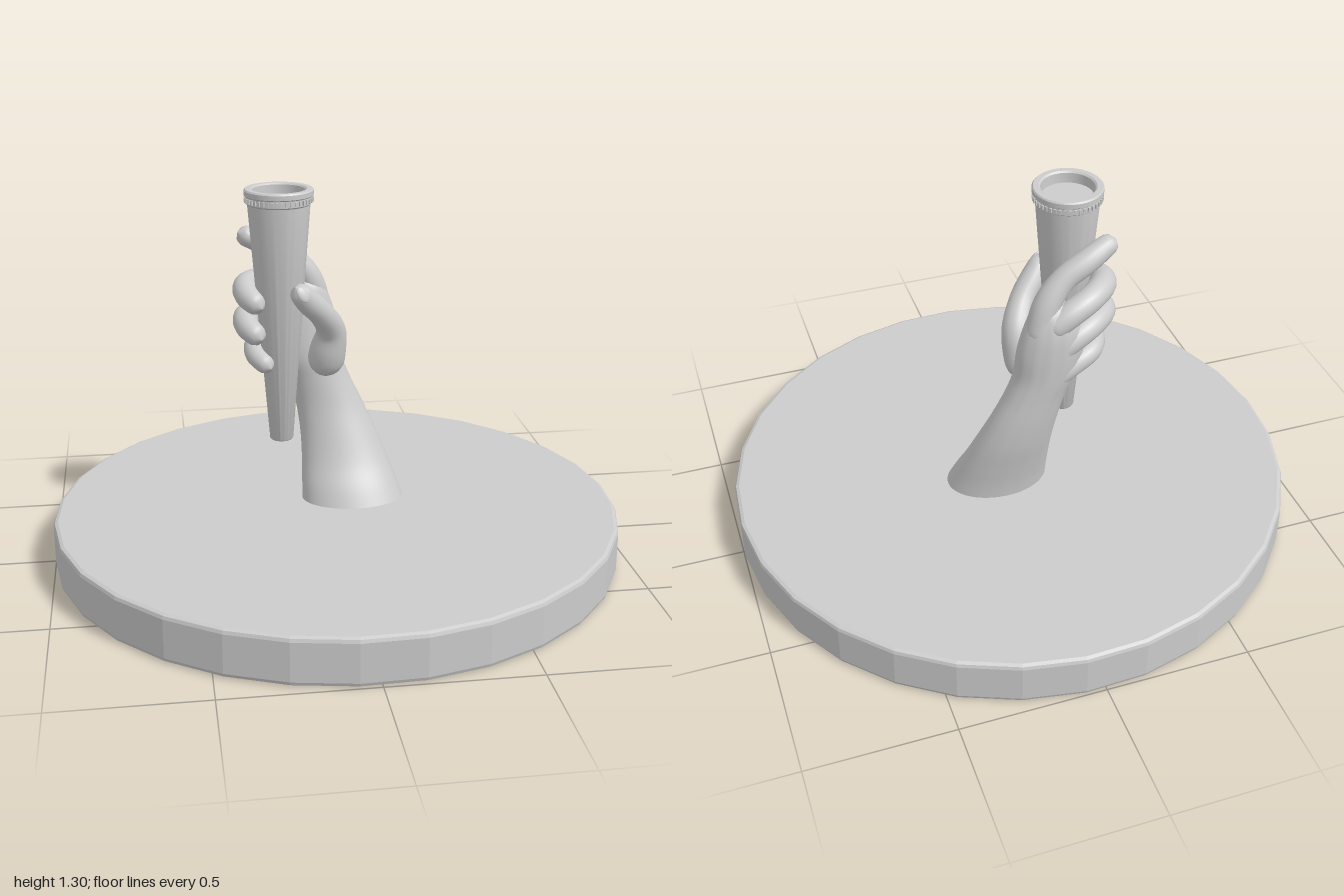
import * as THREE from 'three';
import { toCreasedNormals } from 'three/addons/utils/BufferGeometryUtils.js';

const V = (p) => new THREE.Vector3(...p);
const smooth = new THREE.MeshStandardMaterial({ color: 0xcccccc });
const faceted = new THREE.MeshStandardMaterial({ color: 0xcccccc, flatShading: true });

function part(name, geometry, material = smooth) {
  const mesh = new THREE.Mesh(geometry, material);
  mesh.name = name;
  return mesh;
}

// Smooth skin over rows of closed rings; point(i, angle) gives a Vector3
function skin(rows, sides, point) {
  const pos = [], idx = [];
  for (let i = 0; i <= rows; i++)
    for (let j = 0; j < sides; j++) pos.push(...point(i, (j / sides) * Math.PI * 2).toArray());
  for (let i = 0; i < rows; i++)
    for (let j = 0; j < sides; j++) {
      const k = (j + 1) % sides;
      const a = i * sides + j, b = i * sides + k;
      idx.push(a, b, b + sides, a, b + sides, a + sides);
    }
  const g = new THREE.BufferGeometry();
  g.setAttribute('position', new THREE.Float32BufferAttribute(pos, 3));
  g.setIndex(idx);
  g.computeVertexNormals();
  return g;
}

// Finger along a path, radii given per path point, with rounded ends
function finger(name, path, radii) {
  const curve = new THREE.CatmullRomCurve3(path.map(V));
  const radius = new THREE.CatmullRomCurve3(radii.map((r, i) => V([r, i, 0])));
  const rows = 36, frames = curve.computeFrenetFrames(rows);
  const length = curve.getLength();
  return part(name, skin(rows, 18, (i, a) => {
    const u = i / rows, t = curve.getUtoTmapping(u);
    let r = radius.getPoint(t).x;
    const end = Math.min(u, 1 - u) * length / r;
    if (end < 1) r *= Math.sqrt(Math.max(0, 1 - (1 - end) ** 2));
    return curve.getPointAt(u)
      .addScaledVector(frames.normals[i], Math.cos(a) * r)
      .addScaledVector(frames.binormals[i], Math.sin(a) * r);
  }));
}

// Forearm, wrist and palm from sections: y, x min, x max, z min, z max
function forearmAndPalm() {
  const sections = [
    [0.15, -0.115, 0.255, -0.188, 0.075],
    [0.22, -0.113, 0.23, -0.197, 0.04],
    [0.3, -0.11, 0.2, -0.212, -0.005],
    [0.4, -0.112, 0.16, -0.232, -0.045],
    [0.5, -0.125, 0.115, -0.244, -0.075],
    [0.6, -0.15, 0.068, -0.25, -0.088],
    [0.68, -0.185, 0.04, -0.255, -0.09],
    [0.78, -0.205, 0.03, -0.257, -0.1],
    [0.86, -0.195, 0.01, -0.252, -0.11],
    [0.93, -0.16, -0.02, -0.232, -0.125],
    [0.98, -0.1, -0.07, -0.19, -0.16],
    [0.985, -0.085, -0.085, -0.175, -0.175],
  ];
  const centre = new THREE.CatmullRomCurve3(
    sections.map(([y, x0, x1, z0, z1]) => V([(x0 + x1) / 2, y, (z0 + z1) / 2])));
  const size = new THREE.CatmullRomCurve3(
    sections.map(([y, x0, x1, z0, z1]) => V([(x1 - x0) / 2, (z1 - z0) / 2, y])));
  const rows = 60;
  return part('forearmAndPalm', skin(rows, 48, (i, a) => {
    const c = centre.getPoint(i / rows), s = size.getPoint(i / rows);
    // Faint tendons along the back of the hand and wrist
    const back = Math.max(0, Math.sin(a)) ** 2;
    const ripple = 1 + 0.02 * back * Math.cos(a * 14) * Math.min(1, i / 25);
    return V([c.x + s.x * Math.cos(a) * ripple, c.y, c.z - s.y * Math.sin(a) * ripple]);
  }));
}

function hand() {
  const g = new THREE.Group();
  g.name = 'hand';
  g.add(forearmAndPalm());
  g.add(finger('thumb',
    [[-0.03, 0.62, -0.12], [-0.02, 0.7, -0.09], [-0.01, 0.79, -0.06], [-0.05, 0.87, 0.0], [-0.1, 0.925, 0.035], [-0.148, 0.985, 0.065]],
    [0.06, 0.066, 0.053, 0.044, 0.043, 0.034]));
  g.add(finger('indexFinger',
    [[-0.03, 0.82, -0.195], [-0.07, 0.95, -0.18], [-0.13, 1.03, -0.168], [-0.22, 1.085, -0.16], [-0.325, 1.135, -0.135]],
    [0.045, 0.047, 0.042, 0.042, 0.034]));
  // Three fingers curled round the cone: height, reach to the side, thickness
  const curled = [
    ['middleFinger', 0.93, -0.298, 0.045],
    ['ringFinger', 0.82, -0.3, 0.044],
    ['littleFinger', 0.715, -0.27, 0.039],
  ];
  for (const [name, y, x, r] of curled)
    g.add(finger(name, [
      [-0.06, y - 0.07, -0.205], [-0.15, y - 0.01, -0.207], [-0.23, y + 0.02, -0.182], [x, y + 0.022, -0.11],
      [x - 0.003, y + 0.005, -0.03], [x + 0.04, y - 0.025, 0.035],
    ], [r, r * 1.02, r, r * 1.02, r * 0.95, r * 0.8]));
  // Thumbnail
  const nail = part('thumbnail', new THREE.SphereGeometry(1, 16, 12));
  nail.scale.set(0.02, 0.03, 0.008);
  nail.position.set(-0.125, 0.965, 0.088);
  nail.rotation.set(-0.35, 0.3, 0.6);
  g.add(nail);
  return g;
}

function cone() {
  const g = new THREE.Group();
  g.name = 'cone';
  g.position.set(-0.19, 0, -0.037);
  const profile = [
    [0, 0.41], [0.038, 0.41], [0.041, 0.414], [0.107, 1.252], [0.113, 1.257], [0.113, 1.28],
    [0.118, 1.284], [0.118, 1.3], [0.114, 1.305], [0.096, 1.305], [0.09, 1.3], [0.088, 1.265], [0, 1.265],
  ].map((p) => new THREE.Vector2(...p));
  g.add(part('coneBody', toCreasedNormals(new THREE.LatheGeometry(profile, 48), 0.6)));
  // Raised studs beneath the rim
  const stud = new THREE.BoxGeometry(0.009, 0.016, 0.008);
  for (let i = 0; i < 44; i++) {
    const a = (i / 44) * Math.PI * 2;
    const m = part('rimStud', stud);
    m.position.set(Math.sin(a) * 0.114, 1.269, Math.cos(a) * 0.114);
    m.rotation.y = a;
    g.add(m);
  }
  return g;
}

// Round plinth with bevelled edges
function base() {
  const profile = [[0, 0], [0.985, 0], [0.996, 0.005], [1, 0.016], [1, 0.149], [0.996, 0.16], [0.985, 0.165], [0, 0.165]]
    .map((p) => new THREE.Vector2(...p));
  return part('base', new THREE.LatheGeometry(profile, 30, THREE.MathUtils.degToRad(8)), faceted);
}

export function createModel() {
  const model = new THREE.Group();
  model.name = 'handHoldingCone';
  model.add(base(), hand(), cone());
  return model;
}
